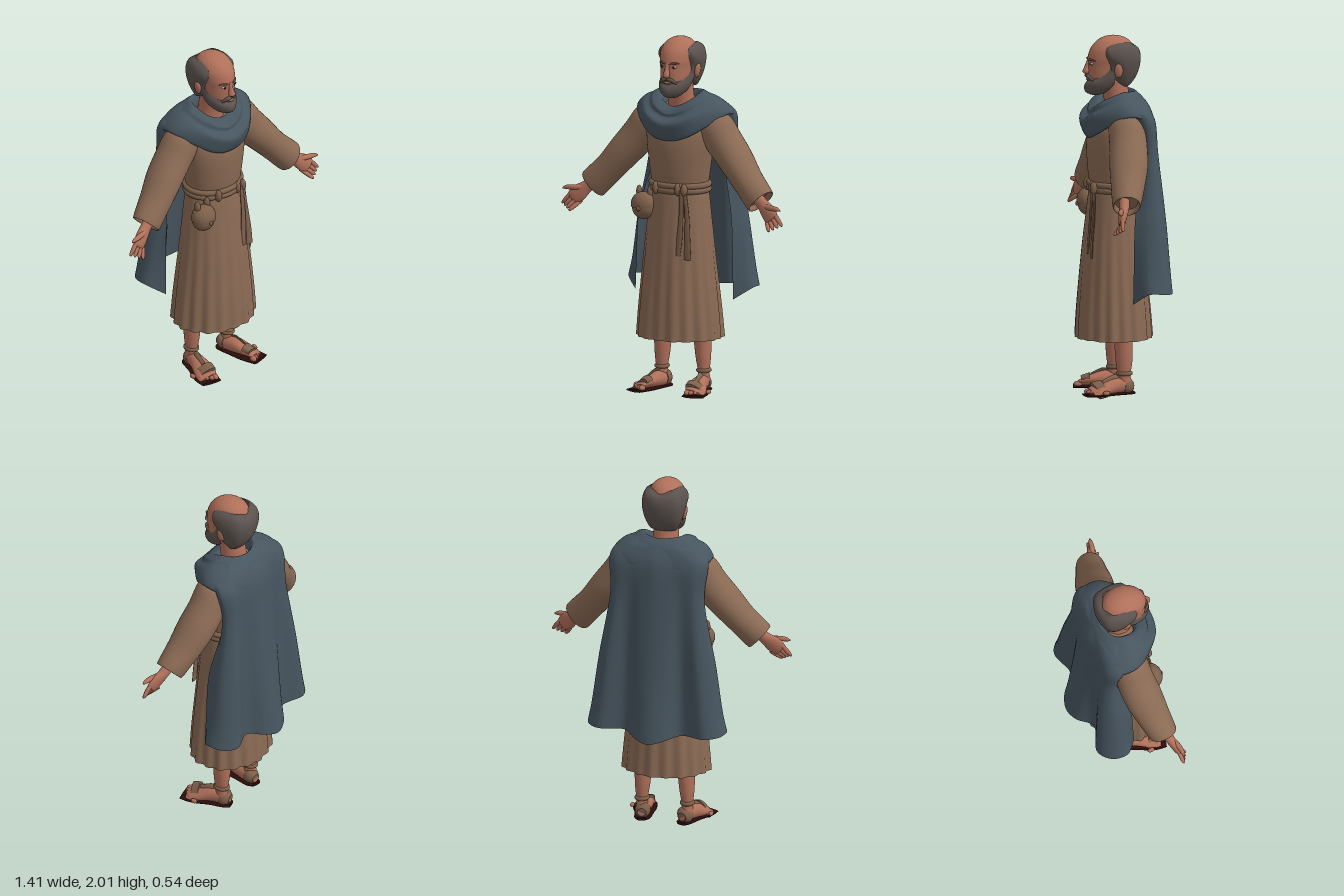
import * as THREE from 'three';

const mat = (name, color, side = THREE.FrontSide) => new THREE.MeshStandardMaterial({ name, color, side });
const V = p => new THREE.Vector3(...p);
const curve = (pts, closed = false) => new THREE.CatmullRomCurve3(pts, closed, 'catmullrom', 0.5);

function build(pos, idx) {
  const g = new THREE.BufferGeometry();
  g.setAttribute('position', new THREE.Float32BufferAttribute(pos, 3));
  g.setIndex(idx);
  g.computeVertexNormals();
  return g;
}

// Elliptical rings along a path; each row is [x, y, z, radiusU, radiusV]
function loft(rows, { axis, seg = 24, step = 5, scale = () => 1 } = {}) {
  const c = curve(rows.map(r => V(r.slice(0, 3)))), s = curve(rows.map(r => V([r[3], r[4], 0])));
  const D = axis ? V(axis) : V(rows.at(-1).slice(0, 3)).sub(V(rows[0].slice(0, 3))).normalize();
  const U = V([0, 0, 1]).cross(D).normalize(), W = D.clone().cross(U);
  const n = (rows.length - 1) * step, pos = [], idx = [];
  for (let i = 0; i <= n; i++) {
    const p = c.getPoint(i / n), r = s.getPoint(i / n);
    for (let j = 0; j < seg; j++) {
      const a = j / seg * Math.PI * 2, k = scale(a, p.y);
      pos.push(...p.clone().addScaledVector(U, Math.cos(a) * r.x * k).addScaledVector(W, Math.sin(a) * r.y * k));
    }
  }
  for (let i = 0; i < n; i++) for (let j = 0; j < seg; j++) {
    const a = i * seg + j, b = i * seg + (j + 1) % seg;
    idx.push(a, b, b + seg, a, b + seg, a + seg);
  }
  // End caps with their own rings
  for (const [i, end] of [[0, 0], [n, 1]]) {
    const base = pos.length / 3;
    pos.push(...pos.slice(i * seg * 3, (i + 1) * seg * 3), ...c.getPoint(end));
    for (let j = 0; j < seg; j++) {
      const a = base + j, b = base + (j + 1) % seg;
      idx.push(...(end ? [a, b, base + seg] : [b, a, base + seg]));
    }
  }
  return build(pos, idx);
}

// Smooth sheet through columns of points
function patch(cols, closed, nu, nv) {
  const cs = cols.map(c => curve(c.map(V))), pos = [], idx = [], w = closed ? nu : nu + 1;
  for (let i = 0; i <= nv; i++) {
    const row = curve(cs.map(c => c.getPoint(i / nv)), closed);
    for (let j = 0; j < w; j++) pos.push(...row.getPoint(j / nu));
  }
  for (let i = 0; i < nv; i++) for (let j = 0; j < nu; j++) {
    const a = i * w + j, b = i * w + (j + 1) % w;
    idx.push(a, a + w, b, b, a + w, b + w);
  }
  return build(pos, idx);
}
const flip = cols => cols.map(c => c.map(([x, y, z]) => [-x, y, z])).reverse();
const bothSides = half => [...flip(half.slice(1)), ...half];

export function createModel() {
  const root = new THREE.Group();
  const skin = mat('skin', 0xb0705a), robeM = mat('robe cloth', 0x8a6a54), hairM = mat('hair', 0x5b524e, THREE.DoubleSide);
  const cloakM = mat('cloak cloth', 0x47555f, THREE.DoubleSide), leather = mat('leather', 0x7d604b);
  const soleM = mat('sole', 0x2a0c0a), white = mat('eye white', 0xb9aaa0), dark = mat('iris', 0x2c211d);
  const add = (name, geo, m) => {
    const o = new THREE.Mesh(geo, m);
    o.name = name;
    root.add(o);
    return o;
  };
  const ball = (name, p, r, m, theta = Math.PI) => {
    const o = add(name, new THREE.SphereGeometry(1, 20, 14, 0, Math.PI * 2, 0, theta), m);
    o.position.set(...p);
    o.scale.set(...r);
    return o;
  };
  const up = { axis: [0, 1, 0] };

  // Robe, with pleats that deepen toward the hem
  add('robe', loft([
    [0, .31, .058, .248, .212], [0, .5, .06, .233, .2], [0, .8, .0625, .203, .172], [0, 1.08, .058, .175, .143],
    [0, 1.16, .055, .165, .135], [0, 1.25, .055, .175, .145], [0, 1.4, .053, .195, .153], [0, 1.5, .04, .2, .14],
    [0, 1.59, .02, .165, .085], [0, 1.63, .02, .08, .06],
  ], { ...up, seg: 144, step: 6, scale: (a, y) => {
    const t = Math.max(0, Math.min(1, (1.1 - y) / .8));
    return 1 + .03 * t * (Math.sin(a * 18) + .5 * Math.sin(a * 7 + 1));
  } }), robeM);

  // Belt, knot, tails and pouch
  for (const y of [1.145, 1.173])
    add('belt', loft([[0, y - .02, .055, .163, .133], [0, y - .009, .055, .181, .15], [0, y + .009, .055, .181, .15],
      [0, y + .02, .055, .163, .133]], { ...up, seg: 48 }), leather);
  for (const x of [-.08, .06, .1]) ball('beltKnot', [x, 1.158, .19], [.018, .036, .022], leather);
  const tail = pts => add('beltTail', loft(pts, { axis: [0, -1, 0] }), leather);
  tail([[.085, 1.16, .195, .012, .008], [.09, 1.02, .205, .014, .006], [.085, .88, .215, .018, .006], [.08, .79, .222, .014, .005]]);
  tail([[.1, 1.16, .19, .012, .008], [.12, 1.02, .192, .014, .006], [.13, .88, .205, .019, .006], [.135, .77, .21, .022, .005]]);
  ball('pouch', [-.17, 1.035, .165], [.068, .068, .06], leather);
  ball('pouchFlap', [-.17, 1.05, .167], [.074, .072, .064], leather, 1.75);
  for (const x of [-.205, -.135]) ball('pouchLoop', [x, 1.12, .155], [.016, .035, .02], leather);
  ball('pouchButton', [-.17, 1.035, .23], [.012, .014, .008], leather);

  // Cloak back, from centre back out to the front edge
  add('cloak', patch(bothSides([
    [[0, 1.68, -.065], [0, 1.63, -.118], [0, 1.54, -.16], [0, 1.35, -.18], [0, 1, -.215], [0, .72, -.25], [0, .54, -.272]],
    [[.04, 1.683, -.06], [.06, 1.635, -.11], [.07, 1.54, -.15], [.075, 1.35, -.17], [.08, 1, -.2], [.08, .72, -.228], [.085, .56, -.245]],
    [[.07, 1.685, -.05], [.12, 1.64, -.1], [.14, 1.54, -.14], [.15, 1.35, -.148], [.16, 1, -.16], [.165, .72, -.168], [.17, .58, -.172]],
    [[.1, 1.69, -.02], [.19, 1.645, -.07], [.23, 1.55, -.13], [.23, 1.35, -.15], [.265, 1, -.185], [.29, .72, -.205], [.305, .585, -.215]],
    [[.115, 1.69, 0], [.23, 1.63, -.035], [.282, 1.56, -.09], [.272, 1.35, -.115], [.328, 1, -.135], [.365, .72, -.15], [.385, .59, -.16]],
    [[.12, 1.69, .02], [.25, 1.62, 0], [.285, 1.555, -.055], [.265, 1.35, -.075], [.33, 1, -.07], [.37, .72, -.065], [.398, .595, -.065]],
    [[.125, 1.685, .03], [.25, 1.61, .02], [.26, 1.54, -.03], [.21, 1.35, -.055], [.29, 1, -.005], [.305, .72, .005], [.31, .53, .01]],
  ]), false, 72, 42), cloakM);

  // Draped cowl around the neck, from centre front to centre back
  const cowl = [
    [[0, 1.58, .105], [0, 1.615, .135], [0, 1.585, .195], [0, 1.56, .2], [0, 1.53, .243], [0, 1.48, .235], [0, 1.43, .205], [0, 1.45, .17]],
    [[.075, 1.61, .1], [.085, 1.65, .115], [.11, 1.63, .16], [.125, 1.6, .165], [.14, 1.575, .2], [.15, 1.53, .195], [.14, 1.47, .185], [.13, 1.48, .15]],
    [[.085, 1.62, .03], [.115, 1.69, .03], [.16, 1.68, .05], [.18, 1.665, .05], [.225, 1.645, .05], [.265, 1.61, .045], [.28, 1.575, .04], [.24, 1.57, .03]],
    [[.06, 1.62, -.02], [.085, 1.69, -.03], [.11, 1.675, -.06], [.13, 1.66, -.07], [.17, 1.645, -.085], [.22, 1.6, -.105], [.24, 1.55, -.11], [.2, 1.55, -.09]],
    [[0, 1.62, -.03], [0, 1.685, -.06], [0, 1.67, -.085], [0, 1.655, -.1], [0, 1.63, -.115], [0, 1.58, -.135], [0, 1.54, -.145], [0, 1.54, -.12]],
  ];
  add('cowl', patch([...cowl, ...flip(cowl.slice(1, -1))], true, 64, 36), cloakM);

  // Head and neck
  add('neck', loft([[0, 1.56, .03, .085, .075], [0, 1.65, .04, .073, .072], [0, 1.76, .06, .07, .075]], up), skin);
  add('head', loft([
    [0, 1.68, .13, .03, .05], [0, 1.71, .115, .06, .08], [0, 1.77, .1, .08, .1], [0, 1.84, .077, .09, .126], [0, 1.88, .07, .096, .132],
    [0, 1.93, .065, .094, .12], [0, 1.97, .06, .073, .09], [0, 1.992, .06, .04, .05], [0, 2, .06, .006, .008],
  ], { ...up, seg: 36 }), skin);
  add('nose', loft([[0, 1.786, .212, .008, .006], [0, 1.8, .214, .02, .018], [0, 1.83, .205, .013, .016], [0, 1.87, .195, .011, .01]], up), skin);
  ball('lowerLip', [0, 1.757, .203], [.024, .007, .01], skin);

  // Fringe of hair, from centre back to the temple
  add('hair', patch(bothSides([
    [[0, 1.945, -.04], [0, 1.925, -.08], [0, 1.87, -.093], [0, 1.79, -.077], [0, 1.725, -.035], [0, 1.715, 0]],
    [[.065, 1.965, -.02], [.085, 1.935, -.058], [.096, 1.87, -.065], [.085, 1.79, -.05], [.06, 1.725, -.018], [.04, 1.715, .01]],
    [[.075, 1.965, .04], [.11, 1.94, .02], [.124, 1.88, .015], [.11, 1.8, .01], [.085, 1.735, .01], [.06, 1.725, .02]],
    [[.07, 1.962, .09], [.106, 1.93, .095], [.116, 1.89, .092], [.102, 1.84, .078], [.096, 1.8, .075], [.088, 1.765, .075]],
    [[.06, 1.95, .11], [.086, 1.925, .12], [.09, 1.89, .115], [.086, 1.84, .096], [.082, 1.8, .09], [.078, 1.76, .085]],
  ]), false, 48, 24), hairM);

  // Beard, from chin to ear
  add('beard', patch(bothSides([
    [[0, 1.75, .198], [0, 1.72, .222], [0, 1.685, .215], [0, 1.667, .17], [0, 1.68, .12]],
    [[.045, 1.765, .18], [.06, 1.735, .187], [.055, 1.695, .177], [.035, 1.672, .15], [.02, 1.685, .11]],
    [[.083, 1.79, .12], [.09, 1.755, .12], [.08, 1.715, .115], [.05, 1.69, .11], [.02, 1.69, .1]],
    [[.09, 1.835, .09], [.096, 1.79, .07], [.085, 1.745, .07], [.055, 1.72, .07], [.03, 1.71, .08]],
  ]), false, 40, 20), hairM);

  for (const s of [1, -1]) {
    const side = s > 0 ? 'left' : 'right';
    const part = (name, rows, m, opt) => add(side + name, loft(rows.map(([x, ...r]) => [x * s, ...r]), opt), m);

    // Face details
    ball(side + 'Ear', [s * .108, 1.815, .05], [.014, .042, .024], skin).rotation.z = -s * .15;
    ball(side + 'Eye', [s * .037, 1.847, .188], [.016, .008, .011], white);
    ball(side + 'Iris', [s * .037, 1.847, .197], [.007, .007, .004], dark);
    part('Brow', [[.014, 1.863, .2, .003, .004], [.035, 1.871, .198, .006, .006], [.062, 1.866, .175, .003, .003]], hairM);
    part('Moustache', [[0, 1.779, .207, .008, .01], [.025, 1.774, .204, .011, .011], [.05, 1.752, .18, .005, .006]], hairM);

    // Sleeve, turned in at the cuff
    part('Sleeve', [[.12, 1.52, .02, .08, .08], [.2, 1.497, .025, .108, .1], [.28, 1.405, .03, .102, .105], [.36, 1.315, .045, .094, .107],
      [.44, 1.22, .066, .085, .095], [.526, 1.128, .09, .087, .08], [.532, 1.122, .091, .078, .07], [.515, 1.14, .088, .07, .062]],
      robeM, { seg: 32 });

    // Hand, fingers and thumb
    part('Hand', [[.48, 1.175, .095, .036, .032], [.55, 1.115, .11, .034, .028], [.6, 1.072, .128, .047, .024],
      [.632, 1.042, .139, .044, .018], [.642, 1.032, .142, .03, .01]], skin);
    for (let i = 0; i < 4; i++) {
      const a = [.648 - .016 * i, 1.066 - .017 * i, .138], b = [.7 - .021 * i, 1.005 - .01 * i, .148 + .012 * i];
      const at = (t, r) => [...a.map((v, k) => v + (b[k] - v) * t), r, r];
      part('Finger', [at(-.3, .011), at(.4, .0125), at(.85, .01), at(1.02, .004)], skin, { seg: 10, step: 3 });
    }
    part('Thumb', [[.585, 1.1, .13, .016, .016], [.63, 1.1, .145, .015, .015], [.67, 1.098, .153, .012, .012],
      [.692, 1.092, .156, .004, .004]], skin, { seg: 12 });

    // Leg and foot, turned slightly outward
    part('Leg', [[.13, .05, .018, .036, .04], [.133, .11, .025, .031, .037], [.13, .2, .025, .042, .048], [.125, .34, .028, .052, .052]], skin, up);
    const foot = [[.118, .045, -.026, .02, .02], [.122, .05, 0, .042, .036], [.14, .052, .08, .045, .044],
      [.16, .041, .15, .032, .056], [.173, .031, .195, .021, .057], [.18, .025, .22, .012, .05]];
    part('Foot', foot, skin);
    for (let i = 0; i < 5; i++)
      ball(side + 'Toe', [s * (.143 + .022 * i), .025, .23 - .009 * i * i * .6], i ? [.012, .013, .02] : [.017, .017, .024], skin);
    part('Sole', foot.map(([x, , z, , w], i) => [x + (i > 4 ? .004 : 0), .009, z + (i > 4 ? .028 : i ? 0 : -.004), .009, w + .01]), soleM);

    // Sandal straps
    const band = (k, grow) => foot.slice(...k).map(([x, y, z, u, w]) => [x, y, z, u + grow, w + grow]);
    part('HeelStrap', [...band([0, 2], .006), [.128, .05, .03, .044, .043]], leather);
    part('ToeStrap', band([3, 5], .006), leather);
    part('InstepStrap', [[.138, .1, .06, .006, .016], [.147, .1, .09, .006, .016], [.16, .072, .15, .006, .016]], leather);
    part('AnkleStrap', [[.133, .108, .024, .032, .038], [.133, .114, .024, .04, .046], [.133, .126, .024, .04, .046],
      [.133, .132, .024, .032, .038]], leather, up);
  }
  return root;
}
